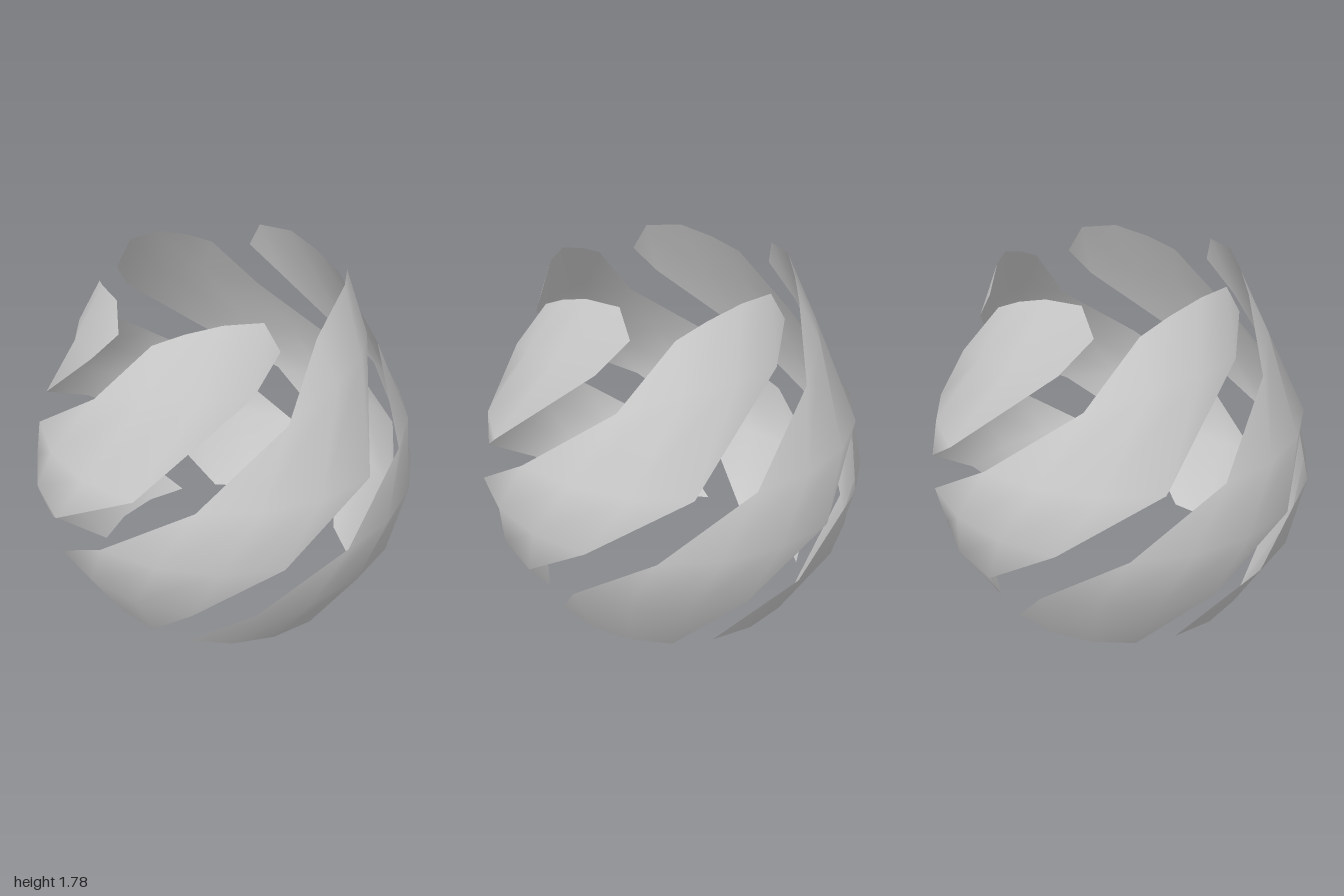
import * as THREE from 'three';

const BANDS = 5;

// Cross-sections of one band from bottom to tip.
// Each point: [angle in degrees from +z toward +x, radius, height]
const level = (y, r, a0, a1) =>
  [0, 1, 2, 3].map((i) => [a0 + ((a1 - a0) * i) / 3, r, y]);

const sections = [
  level(0, 0.705, -69, -14),
  level(0.4, 0.94, -44.6, 8.6),
  level(0.71, 1.0, -18, 34.2),
  level(1.02, 0.95, 10, 64),
  [[39.5, 0.785, 1.355], [62, 0.745, 1.45], [81, 0.73, 1.475], [100.5, 0.71, 1.48]],
  [[59.3, 0.635, 1.66], [73, 0.6, 1.73], [89.5, 0.596, 1.785], [107, 0.596, 1.785]],
];
const tip = [113, 0.638, 1.65]; // blunt corner closing the upper end

function bandGeometry() {
  const positions = [...sections.flat(), tip].flatMap(([deg, r, y]) => {
    const a = THREE.MathUtils.degToRad(deg);
    return [r * Math.sin(a), y, r * Math.cos(a)];
  });
  const index = [];
  const last = sections.length - 2;
  for (let row = 0; row <= last; row++) {
    for (let c = 0; c < 3; c++) {
      const a = row * 4 + c, b = a + 1, d = a + 4, e = a + 5;
      // the tip folds along the opposite diagonal
      if (row === last && c > 0) index.push(a, b, e, a, e, d);
      else index.push(a, b, d, b, e, d);
    }
  }
  const n = sections.length * 4;
  index.push(n - 5, n, n - 1);
  const geometry = new THREE.BufferGeometry();
  geometry.setAttribute('position', new THREE.Float32BufferAttribute(positions, 3));
  geometry.setIndex(index);
  geometry.computeVertexNormals();
  return geometry;
}

export function createModel() {
  const group = new THREE.Group();
  group.name = 'spiralBandShade';
  const material = new THREE.MeshStandardMaterial({ color: 0xcccccc, side: THREE.DoubleSide });
  const geometry = bandGeometry();

  // Identical bands spiral around the vertical axis
  for (let i = 0; i < BANDS; i++) {
    const band = new THREE.Mesh(geometry, material);
    band.name = `spiralBand${i + 1}`;
    band.rotation.y = (i * Math.PI * 2) / BANDS;
    group.add(band);
  }
  return group;
}
